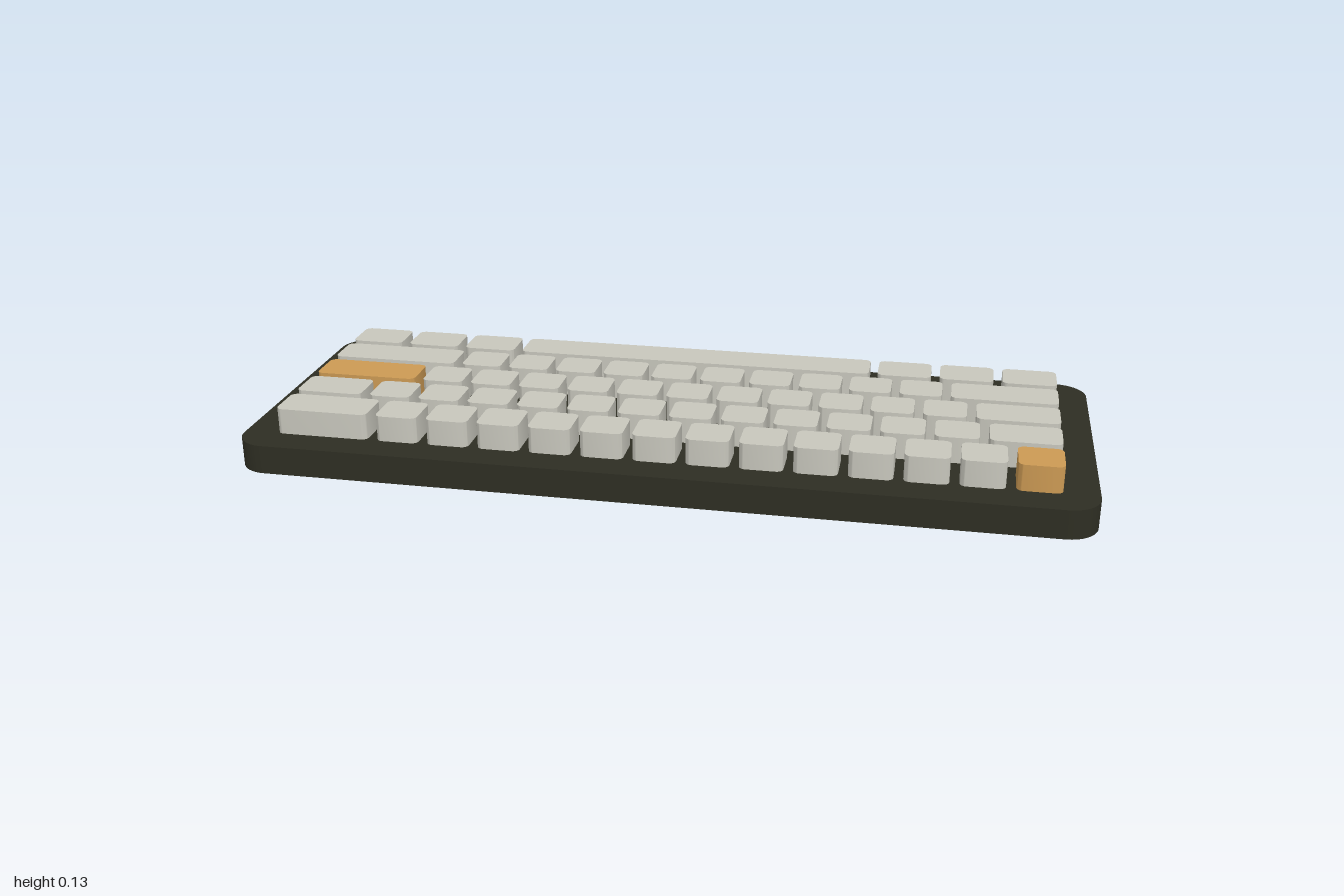
import * as THREE from 'three';
import { toCreasedNormals } from 'three/addons/utils/BufferGeometryUtils.js';

const UNIT = 0.124; // key pitch
const GAP = 0.022; // space between keys
const CASE_HEIGHT = 0.07;
const KEY_HEIGHT = 0.063;

// Upright slab with rounded vertical corners, standing on y = 0
function roundedSlab(width, depth, height, radius, segments) {
  const x = width / 2, y = depth / 2, r = radius;
  const shape = new THREE.Shape();
  shape.moveTo(-x + r, -y);
  shape.lineTo(x - r, -y);
  shape.absarc(x - r, -y + r, r, -Math.PI / 2, 0);
  shape.lineTo(x, y - r);
  shape.absarc(x - r, y - r, r, 0, Math.PI / 2);
  shape.lineTo(-x + r, y);
  shape.absarc(-x + r, y - r, r, Math.PI / 2, Math.PI);
  shape.lineTo(-x, -y + r);
  shape.absarc(-x + r, -y + r, r, Math.PI, Math.PI * 1.5);
  const geometry = new THREE.ExtrudeGeometry(shape, { depth: height, bevelEnabled: false, curveSegments: segments });
  geometry.rotateX(-Math.PI / 2);
  return toCreasedNormals(geometry, 0.6);
}

export function createModel() {
  const caseMaterial = new THREE.MeshStandardMaterial({ color: 0x2e2e23 });
  const keyMaterial = new THREE.MeshStandardMaterial({ color: 0xc8c7bd });
  const accentMaterial = new THREE.MeshStandardMaterial({ color: 0xcc9a54 });
  caseMaterial.name = 'dark case';
  keyMaterial.name = 'pale keycap';
  accentMaterial.name = 'orange keycap';

  const model = new THREE.Group();
  model.name = 'keyboard';

  // Case
  const body = new THREE.Mesh(roundedSlab(2, 0.76, CASE_HEIGHT, 0.075, 8), caseMaterial);
  body.name = 'case';
  model.add(body);

  // Rows from back to front, key widths in units; accent is the index of the orange key
  const ones = (count) => Array(count).fill(1);
  const rows = [
    { name: 'spaceBarRow', widths: [1.25, 1.25, 1.25, 7.5, 1.25, 1.25, 1.25] },
    { name: 'lowerLetterRow', widths: [2.75, ...ones(10), 2.25] },
    { name: 'middleLetterRow', widths: [2.25, ...ones(11), 1.75], accent: 0 },
    { name: 'upperLetterRow', widths: [1.5, ...ones(12), 1.5] },
    { name: 'numberRow', widths: [2, ...ones(13)], accent: 13 },
  ];

  // One shared geometry per key width
  const cache = new Map();
  const keyGeometry = (units) => {
    if (!cache.has(units)) {
      cache.set(units, roundedSlab(units * UNIT - GAP, UNIT - GAP, KEY_HEIGHT, 0.016, 5));
    }
    return cache.get(units);
  };

  // Keycaps
  rows.forEach(({ name, widths, accent }, row) => {
    const group = new THREE.Group();
    group.name = name;
    group.position.set(0, CASE_HEIGHT, (row - 2) * UNIT);
    let cursor = -7.5 * UNIT;
    widths.forEach((units, i) => {
      const key = new THREE.Mesh(keyGeometry(units), i === accent ? accentMaterial : keyMaterial);
      key.name = units === 7.5 ? 'spaceBar' : 'keycap';
      key.position.x = cursor + (units * UNIT) / 2;
      cursor += units * UNIT;
      group.add(key);
    });
    model.add(group);
  });

  return model;
}
